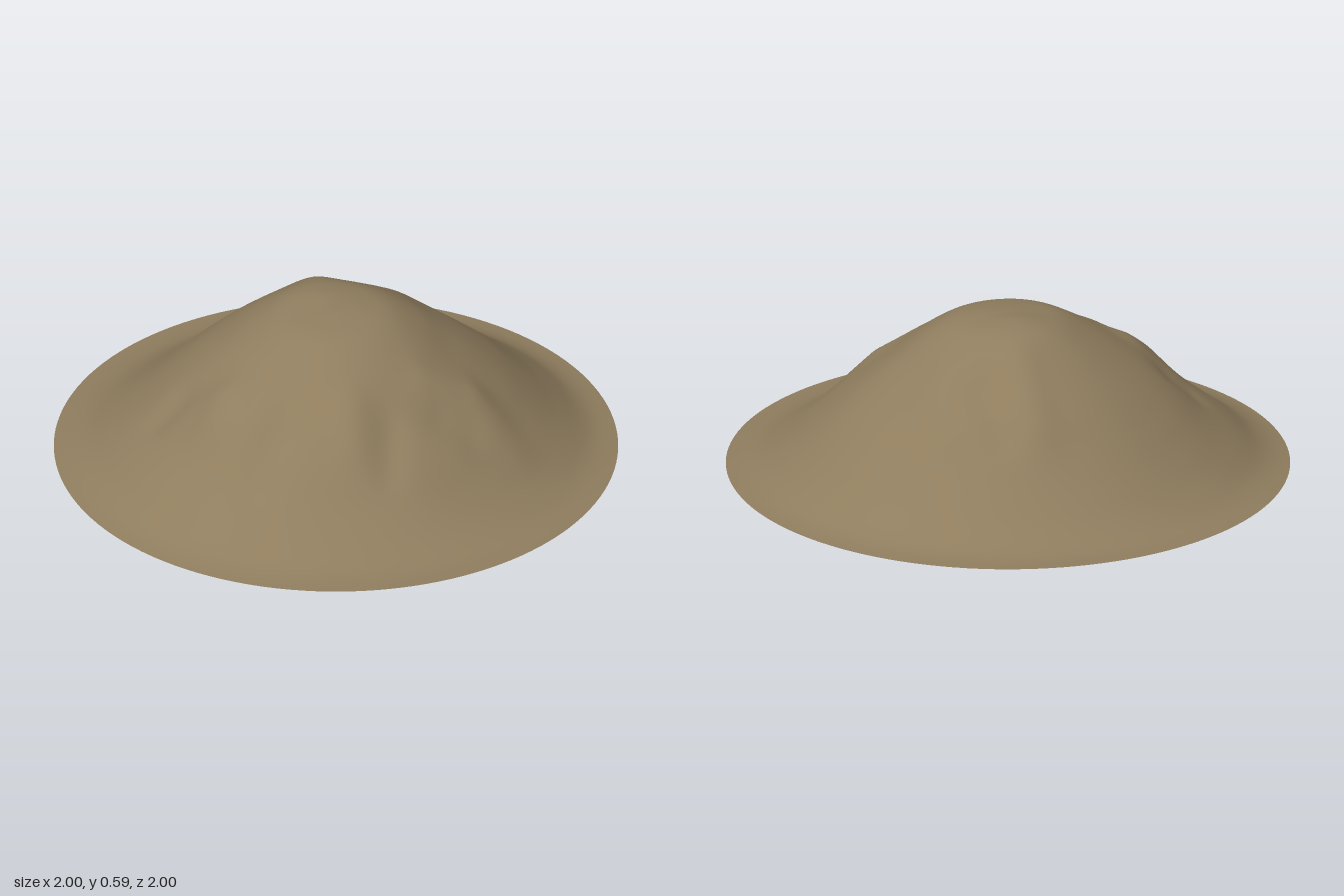
import * as THREE from 'three';
import { mergeVertices } from 'three/addons/utils/BufferGeometryUtils.js';

// Slope heights at radius 0, 0.1, ... 1 on each of the four sides
const LEFT = [0.58, 0.575, 0.555, 0.5, 0.42, 0.345, 0.265, 0.18, 0.095, 0.025, 0];
const RIGHT = [0.58, 0.572, 0.55, 0.495, 0.43, 0.36, 0.28, 0.19, 0.11, 0.035, 0];
const FRONT = [0.58, 0.57, 0.545, 0.485, 0.405, 0.32, 0.23, 0.13, 0.055, 0.01, 0];
const BACK = [0.58, 0.585, 0.565, 0.505, 0.43, 0.345, 0.245, 0.145, 0.06, 0.01, 0];

// Ridges (positive) and gullies (negative): x1, z1, x2, z2, width, height
const FEATURES = [
  [0.08, -0.3, 0.1, -0.5, 0.08, 0.02],
  [0.22, -0.32, 0.22, -0.48, 0.06, -0.018],
  [0.36, -0.2, 0.42, -0.36, 0.08, 0.014],
  [0.42, 0.1, 0.6, 0.06, 0.12, 0.01],
  [-0.5, 0.06, -0.55, 0.1, 0.08, 0.03],
  [-0.58, -0.12, -0.64, -0.13, 0.06, -0.02],
  [-0.4, 0.17, -0.5, 0.22, 0.07, 0.016],
  [-0.4, 0.31, -0.56, 0.38, 0.07, -0.02],
  [-0.16, 0.4, -0.2, 0.47, 0.08, 0.022],
  [-0.06, 0.48, -0.12, 0.58, 0.06, -0.018],
  [0.16, 0.38, 0.32, 0.4, 0.07, 0.016],
  [0.16, 0.48, 0.24, 0.53, 0.07, -0.016],
  [0.36, 0.42, 0.42, 0.56, 0.07, 0.012],
];

// Smooth interpolation through one profile
function profileHeight(profile, r) {
  const t = Math.min(r, 1) * 10;
  const i = Math.min(Math.floor(t), 9);
  const f = t - i;
  const p = (k) => profile[Math.min(Math.abs(k), 10)];
  const m0 = i === 0 ? 0 : (p(i + 1) - p(i - 1)) / 2;
  const m1 = (p(i + 2) - p(i)) / 2;
  const f2 = f * f, f3 = f2 * f;
  return (2 * f3 - 3 * f2 + 1) * p(i) + (f3 - 2 * f2 + f) * m0
    + (3 * f2 - 2 * f3) * p(i + 1) + (f3 - f2) * m1;
}

// Soft bump around a line segment
function featureHeight(x, z, [x1, z1, x2, z2, width, height]) {
  const dx = x2 - x1, dz = z2 - z1;
  const t = THREE.MathUtils.clamp(((x - x1) * dx + (z - z1) * dz) / (dx * dx + dz * dz), 0, 1);
  const d = Math.hypot(x - x1 - t * dx, z - z1 - t * dz) / width;
  return height * Math.exp(-d * d);
}

function moundHeight(x, z) {
  const r = Math.hypot(x, z);
  // Blend the side profiles by direction
  const sideways = r > 0 ? (x / r) ** 2 : 0;
  let y = sideways * profileHeight(x > 0 ? LEFT : RIGHT, r)
    + (1 - sideways) * profileHeight(z > 0 ? FRONT : BACK, r);
  // Features and gentle unevenness fade out toward the flat rim
  const fade = 1 - THREE.MathUtils.smoothstep(r, 0.6, 0.9);
  for (const f of FEATURES) y += fade * featureHeight(x, z, f);
  y += fade * 0.003 * Math.sin(11 * x + 3 * z) * Math.sin(9 * z - 4 * x + 1);
  return Math.max(y, 0);
}

export function createModel() {
  const group = new THREE.Group();
  group.name = 'moundModel';

  // Open shell: a disc of rings raised by the height rule
  let geometry = new THREE.RingGeometry(0, 1, 128, 64).rotateX(-Math.PI / 2);
  const pos = geometry.attributes.position;
  for (let i = 0; i < pos.count; i++) {
    pos.setY(i, moundHeight(pos.getX(i), pos.getZ(i)));
  }
  geometry.deleteAttribute('uv');
  geometry.deleteAttribute('normal');
  geometry = mergeVertices(geometry, 1e-5);
  geometry.computeVertexNormals();

  const earth = new THREE.MeshStandardMaterial({ color: 0x8f7d5e, side: THREE.DoubleSide });
  const mound = new THREE.Mesh(geometry, earth);
  mound.name = 'earthMound';
  group.add(mound);
  return group;
}
